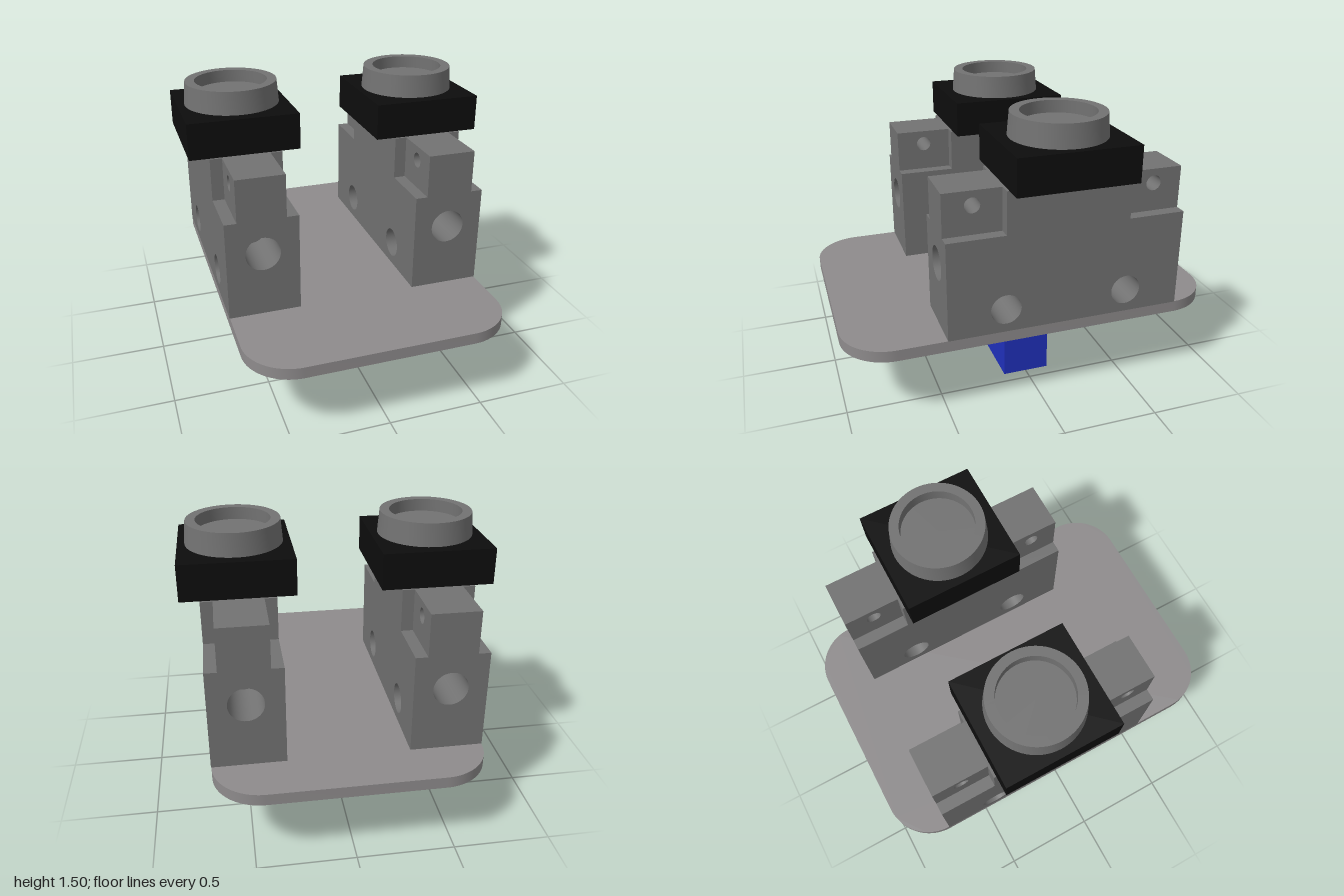
import * as THREE from 'three';
import { mergeGeometries, toCreasedNormals } from 'three/addons/utils/BufferGeometryUtils.js';

const mat = (color, side = THREE.FrontSide) => new THREE.MeshStandardMaterial({ color, side });
const GREY = 0x727272;

function mesh(name, geometry, material, x = 0, y = 0, z = 0) {
  const m = new THREE.Mesh(geometry, material);
  m.name = name;
  m.position.set(x, y, z);
  return m;
}

// Flat face from an outline, with round holes given as [x, y, radius]
function face(points, holes = []) {
  const s = new THREE.Shape(points.map(([x, y]) => new THREE.Vector2(x, y)));
  for (const [x, y, r] of holes) s.holes.push(new THREE.Path().absarc(x, y, r, 0, Math.PI * 2, true));
  return new THREE.ShapeGeometry(s, 24);
}
const rect = (x0, y0, x1, y1) => [[x0, y0], [x1, y0], [x1, y1], [x0, y1]];

// Block dimensions, measured from the block's own centre line
const W = 0.1875, TAB = 0.125;          // half widths of the body and its end tabs
const L = 0.625, MID = 0.325;           // half lengths of the body and its full-width top
const Y0 = 0.44, LEDGE = 0.965, Y1 = 1.19;
const CROSS = { z: 0.325, y: 0.565, r: 0.08 };
const PIN = { z: 0.475, y: 1.115, r: 0.04 };
const END = { y: 0.78, r: 0.09, depth: 0.3 };

function blockShell() {
  const parts = [];
  for (const turn of [0, Math.PI]) {
    const add = (g) => parts.push(g.rotateY(turn));
    // stepped side wall with the two cross holes
    add(face([[-L, Y0], [L, Y0], [L, LEDGE], [MID, LEDGE], [MID, Y1], [-MID, Y1], [-MID, LEDGE], [-L, LEDGE]],
      [-1, 1].map((s) => [s * CROSS.z, CROSS.y, CROSS.r])).rotateY(Math.PI / 2).translate(W, 0, 0));
    // end wall, narrowing to the tab
    add(face([[-W, Y0], [W, Y0], [W, LEDGE], [TAB, LEDGE], [TAB, Y1], [-TAB, Y1], [-TAB, LEDGE], [-W, LEDGE]],
      [[0, END.y, END.r]]).translate(0, 0, L));
    for (const s of [-1, 1]) {
      // tab side with its pin hole
      add(face(rect(s < 0 ? -L : MID, LEDGE, s < 0 ? -MID : L, Y1), [[s * PIN.z, PIN.y, PIN.r]])
        .rotateY(Math.PI / 2).translate(TAB, 0, 0));
      // corner notch: back wall and ledge
      const x0 = s < 0 ? -W : TAB, x1 = s < 0 ? -TAB : W;
      add(face(rect(x0, LEDGE, x1, Y1)).translate(0, 0, MID));
      add(face(rect(x0, -L, x1, -MID)).rotateX(-Math.PI / 2).translate(0, LEDGE, 0));
    }
  }
  // top face
  parts.push(face([[-TAB, -L], [TAB, -L], [TAB, -MID], [W, -MID], [W, MID], [TAB, MID],
    [TAB, L], [-TAB, L], [-TAB, MID], [-W, MID], [-W, -MID], [-TAB, -MID]])
    .rotateX(-Math.PI / 2).translate(0, Y1, 0));
  return mergeGeometries(parts);
}

// Inner walls of all the holes
function blockBores() {
  const tube = (r, len) => new THREE.CylinderGeometry(r, r, len, 48, 1, true);
  const parts = [];
  for (const s of [-1, 1]) {
    parts.push(tube(CROSS.r, W * 2).rotateZ(Math.PI / 2).translate(0, CROSS.y, s * CROSS.z));
    parts.push(tube(PIN.r, TAB * 2).rotateZ(Math.PI / 2).translate(0, PIN.y, s * PIN.z));
    parts.push(tube(END.r, END.depth).rotateX(Math.PI / 2).translate(0, END.y, s * (L - END.depth / 2)));
    // blind end, facing inward because the material shows back faces
    parts.push(new THREE.CircleGeometry(END.r, 48).rotateY(s > 0 ? Math.PI : 0)
      .translate(0, END.y, s * (L - END.depth)));
  }
  return mergeGeometries(parts);
}

// Tapered cup with a shallow recess
function cupGeometry() {
  const profile = [[0.25, 0], [0.24, 0.12], [0.19, 0.12], [0.19, 0.055], [0, 0.055]];
  const g = new THREE.LatheGeometry(profile.map(([x, y]) => new THREE.Vector2(x, y)), 64);
  return toCreasedNormals(g, 0.5);
}

// Rounded base plate
function plateGeometry() {
  const w = 0.685, l = 1, r = 0.25, q = Math.PI / 2;
  const s = new THREE.Shape();
  s.absarc(w - r, l - r, r, 0, q);
  s.absarc(-w + r, l - r, r, q, 2 * q);
  s.absarc(-w + r, -l + r, r, 2 * q, 3 * q);
  s.absarc(w - r, -l + r, r, 3 * q, 4 * q);
  s.closePath();
  const g = new THREE.ExtrudeGeometry(s, { depth: 0.06, bevelEnabled: false, curveSegments: 16 });
  return toCreasedNormals(g.rotateX(-q), 0.5);
}

export function createModel() {
  const model = new THREE.Group();
  model.name = 'twinBlockFixture';

  model.add(mesh('basePlate', plateGeometry(), mat(0x8e8b8c), 0, 0.38, 0));
  model.add(mesh('lowerBar', new THREE.BoxGeometry(0.87, 0.38, 0.25), mat(0x2030bc), 0, 0.19, 0));

  // Two identical blocks, each with a collar and cup
  for (const side of [1, -1]) {
    const unit = new THREE.Group();
    unit.name = side > 0 ? 'leftBlock' : 'rightBlock';
    unit.position.set(side * 0.5, 0, -0.125);
    unit.add(
      mesh('blockBody', blockShell(), mat(GREY)),
      mesh('blockHoles', blockBores(), mat(GREY, THREE.BackSide)),
      mesh('collar', new THREE.BoxGeometry(0.575, 0.19, 0.625), mat(0x0d0d0d), 0, 1.285, 0),
      mesh('cup', cupGeometry(), mat(GREY), 0, 1.38, 0),
    );
    model.add(unit);
  }
  return model;
}
